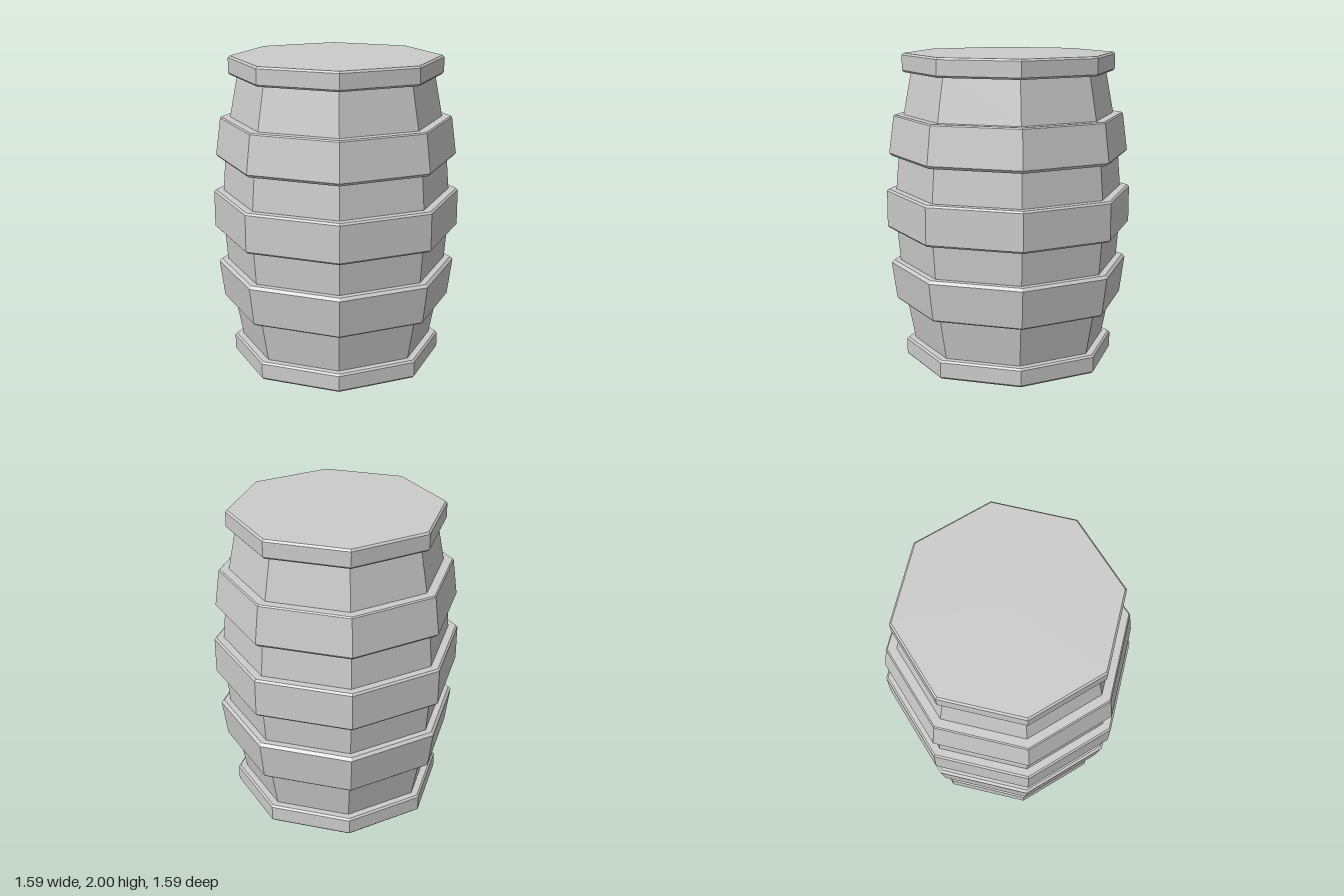
import * as THREE from 'three';

const SIDES = 8;
const material = new THREE.MeshStandardMaterial({ color: 0xcccccc, flatShading: true });

// Eight-sided solid from a [radius, height] profile listed bottom to top
function turned(name, profile) {
  const points = profile.map(([r, y]) => new THREE.Vector2(r, y));
  const geometry = new THREE.LatheGeometry(points, SIDES).toNonIndexed();
  geometry.computeVertexNormals();
  const mesh = new THREE.Mesh(geometry, material);
  mesh.name = name;
  return mesh;
}

// Bevelled band between two heights, with its own radius at each end
function band(name, y0, y1, r0, r1, inner, b0 = 0.012, b1 = 0.012) {
  return turned(name, [
    [inner, y0], [r0 - b0, y0], [r0, y0 + b0],
    [r1, y1 - b1], [r1 - b1, y1], [inner, y1],
  ]);
}

export function createModel() {
  const barrel = new THREE.Group();
  barrel.name = 'barrel';

  // Bulging staves
  const lower = [[0.625, 0.1], [0.68, 0.39], [0.718, 0.66], [0.735, 0.87]];
  const upper = lower.map(([r, y]) => [r, 2 - y]).reverse();
  barrel.add(turned('staves', [...lower, ...upper]));

  // Solid end caps
  barrel.add(band('bottomCap', 0, 0.12, 0.685, 0.685, 0));
  barrel.add(band('topCap', 1.88, 2, 0.685, 0.685, 0));

  // Hoops, the outer two sloping with the bulge
  barrel.add(band('lowerHoop', 0.39, 0.655, 0.745, 0.777, 0.6, 0.008, 0.018));
  barrel.add(band('middleHoop', 0.872, 1.128, 0.797, 0.797, 0.65));
  barrel.add(band('upperHoop', 1.345, 1.61, 0.777, 0.745, 0.6, 0.018, 0.008));

  return barrel;
}
